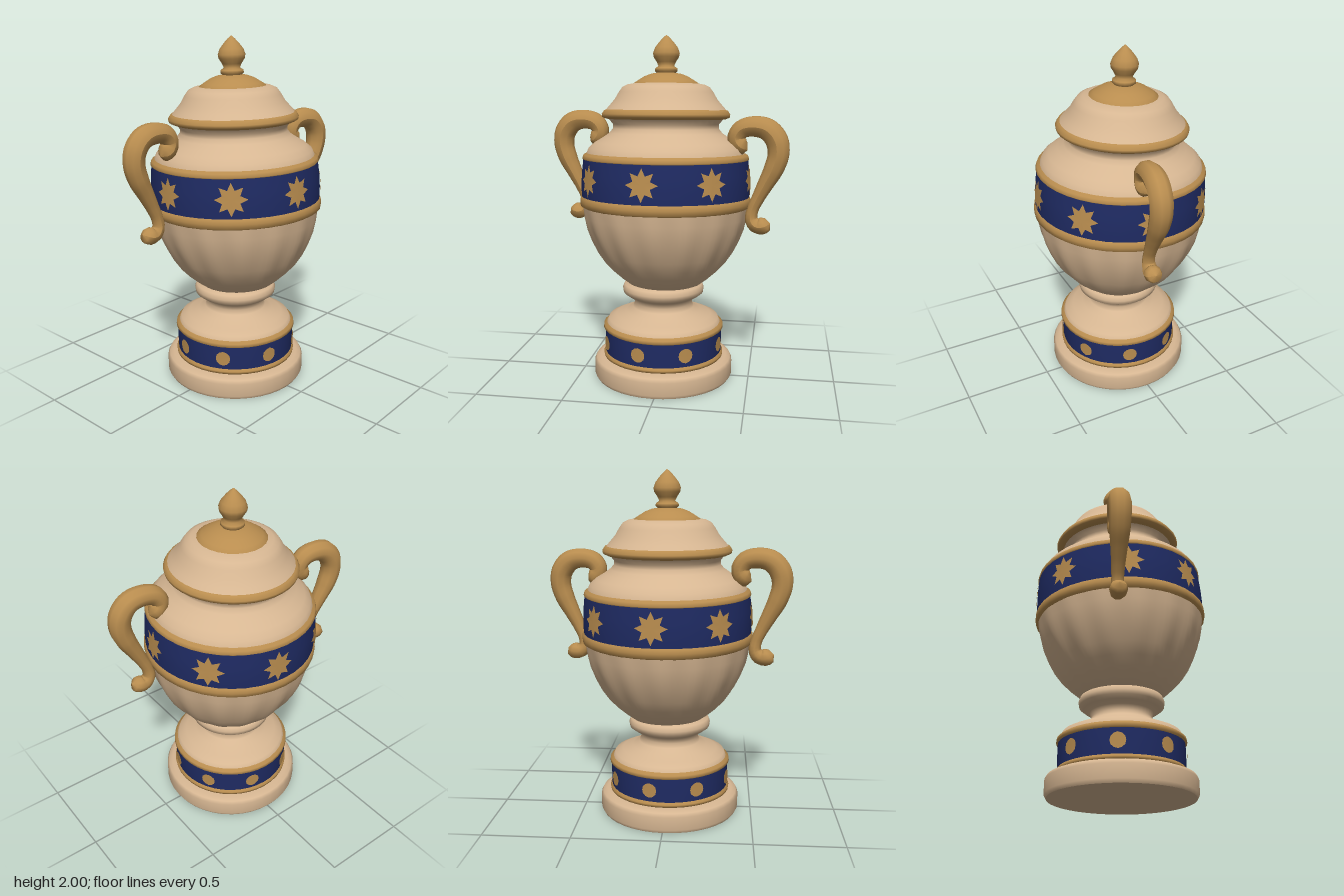
import * as THREE from 'three';
import { mergeVertices } from 'three/addons/utils/BufferGeometryUtils.js';

const cream = new THREE.MeshStandardMaterial({ color: 0xd6b692, name: 'cream' });
const gold = new THREE.MeshStandardMaterial({ color: 0xb98d4f, name: 'gold' });
const blue = new THREE.MeshStandardMaterial({ color: 0x1f2b63, name: 'navy blue' });

function add(parent, name, geometry, material) {
  const mesh = new THREE.Mesh(geometry, material);
  mesh.name = name;
  parent.add(mesh);
  return mesh;
}

// Turned part from [radius, height] pairs, listed bottom to top
function turned(profile, segments = 40) {
  return new THREE.LatheGeometry(profile.map(([r, y]) => new THREE.Vector2(r, y)), segments);
}

// Shallow vertical lobes that fade out towards the top and bottom of the bowl
function flute(geometry, y0, y1, lobes, depth) {
  geometry.deleteAttribute('uv');
  geometry.deleteAttribute('normal');
  const p = geometry.attributes.position;
  for (let i = 0; i < p.count; i++) {
    const t = THREE.MathUtils.clamp((p.getY(i) - y0) / (y1 - y0), 0, 1);
    const angle = Math.atan2(p.getX(i), p.getZ(i));
    const k = 1 + depth * Math.sin(Math.PI * t) * Math.cos(lobes * angle);
    p.setX(i, p.getX(i) * k);
    p.setZ(i, p.getZ(i) * k);
  }
  const merged = mergeVertices(geometry, 1e-4);
  merged.computeVertexNormals();
  return merged;
}

// Thin star or disc wrapped round a band; radiusAt gives the band radius at a height
function ornament(points, outer, inner, y, angle, radiusAt) {
  const verts = [];
  const index = [];
  const put = (u, v) => {
    const r = radiusAt(y + v) + 0.006;
    const a = angle + u / r;
    verts.push(r * Math.sin(a), y + v, r * Math.cos(a));
  };
  put(0, 0);
  const n = points * 2;
  for (let i = 0; i < n; i++) {
    const a = Math.PI / 2 + (i / n) * Math.PI * 2;
    const r = i % 2 ? inner : outer;
    put(r * Math.cos(a), r * Math.sin(a));
    index.push(0, i + 1, ((i + 1) % n) + 1);
  }
  const g = new THREE.BufferGeometry();
  g.setAttribute('position', new THREE.Float32BufferAttribute(verts, 3));
  g.setIndex(index);
  g.computeVertexNormals();
  return g;
}

// Tube of varying thickness through [x, y, radius] stations
function scroll(stations, side, zAt, lift) {
  const curve = new THREE.CatmullRomCurve3(stations.map(([x, y]) =>
    new THREE.Vector3(side * x, y + lift, zAt(side * x))));
  const rings = 56, sides = 10;
  const g = new THREE.TubeGeometry(curve, rings, 1, sides);
  const p = g.attributes.position;
  const v = new THREE.Vector3();
  for (let i = 0; i <= rings; i++) {
    const centre = curve.getPointAt(i / rings);
    const s = curve.getUtoTmapping(i / rings) * (stations.length - 1);
    const k = Math.min(Math.floor(s), stations.length - 2);
    const radius = THREE.MathUtils.lerp(stations[k][2], stations[k + 1][2], s - k);
    for (let j = 0; j <= sides; j++) {
      const id = i * (sides + 1) + j;
      v.fromBufferAttribute(p, id).sub(centre).multiplyScalar(radius).add(centre);
      p.setXYZ(id, v.x, v.y, v.z);
    }
  }
  g.computeVertexNormals();
  return g;
}

export function createModel() {
  const urn = new THREE.Group();
  urn.name = 'urn';

  // Foot: plinth, banded drum and waisted stem
  const foot = new THREE.Group();
  foot.name = 'foot';
  foot.position.x = -0.012;
  urn.add(foot);
  add(foot, 'plinthBottom', turned([[0, 0.005], [0.4, 0.005]]), cream);
  add(foot, 'plinth', turned([[0.4, 0.005], [0.411, 0.025], [0.411, 0.1], [0.4, 0.12], [0.375, 0.13], [0.33, 0.133]]), cream);
  add(foot, 'drumLowerRing', turned([[0.335, 0.13], [0.354, 0.135], [0.356, 0.15], [0.344, 0.163]]), gold);
  add(foot, 'drumBand', turned([[0.345, 0.158], [0.347, 0.23], [0.346, 0.3]]), blue);
  add(foot, 'drumUpperRing', turned([[0.344, 0.296], [0.356, 0.304], [0.354, 0.322], [0.335, 0.335]]), gold);
  add(foot, 'stem', turned([[0.338, 0.33], [0.325, 0.358], [0.28, 0.378], [0.22, 0.4], [0.18, 0.425],
    [0.168, 0.45], [0.178, 0.48], [0.212, 0.497], [0.236, 0.515], [0.24, 0.54], [0.23, 0.565], [0.19, 0.58]]), cream);
  for (let i = 0; i < 8; i++) {
    const angle = THREE.MathUtils.degToRad(-15 + i * 45);
    add(foot, 'drumDot', ornament(6, 0.043, 0.042, 0.23, angle, () => 0.347), gold);
  }

  // Bowl and lid lean very slightly backwards
  const upper = new THREE.Group();
  upper.name = 'bowlAndLid';
  upper.rotation.x = -0.036;
  upper.position.z = 0.032;
  urn.add(upper);

  const bowl = turned([[0.18, 0.56], [0.215, 0.575], [0.255, 0.605], [0.305, 0.65], [0.35, 0.7], [0.39, 0.76],
    [0.425, 0.83], [0.453, 0.9], [0.47, 0.97], [0.479, 1.04]], 96);
  add(upper, 'bowl', flute(bowl, 0.56, 1.04, 16, 0.014), cream);
  add(upper, 'bowlLowerRing', turned([[0.475, 1.025], [0.492, 1.035], [0.495, 1.06], [0.492, 1.08], [0.482, 1.092]]), gold);
  add(upper, 'bowlBand', turned([[0.485, 1.085], [0.487, 1.15], [0.484, 1.22], [0.475, 1.305]]), blue);
  add(upper, 'bowlUpperRing', turned([[0.474, 1.298], [0.481, 1.305], [0.475, 1.325], [0.45, 1.34]]), gold);
  add(upper, 'shoulder', turned([[0.458, 1.333], [0.445, 1.365], [0.41, 1.395], [0.36, 1.425], [0.325, 1.45],
    [0.305, 1.475], [0.305, 1.5], [0.33, 1.53], [0.345, 1.54]]), cream);
  const bandRadius = (y) => 0.487 - Math.max(0, y - 1.15) * 0.075;
  for (let i = 0; i < 8; i++) {
    const angle = THREE.MathUtils.degToRad(-6 + i * 45);
    add(upper, 'bandStar', ornament(8, 0.09, 0.052, 1.193, angle, bandRadius), gold);
  }

  // Lid with gold rim, cap and bud finial
  add(upper, 'lidRim', turned([[0.3, 1.525], [0.345, 1.53], [0.366, 1.54], [0.369, 1.557], [0.355, 1.578], [0.335, 1.585]]), gold);
  add(upper, 'lid', turned([[0.347, 1.58], [0.325, 1.605], [0.295, 1.64], [0.272, 1.68], [0.25, 1.71], [0.22, 1.724], [0.18, 1.73]]), cream);
  add(upper, 'lidCap', turned([[0.185, 1.715], [0.194, 1.726], [0.165, 1.745], [0.125, 1.77], [0.085, 1.785], [0.05, 1.79]], 24), gold);
  add(upper, 'finial', turned([[0.05, 1.785], [0.066, 1.8], [0.064, 1.815], [0.045, 1.828], [0.055, 1.85], [0.073, 1.878],
    [0.077, 1.9], [0.066, 1.93], [0.043, 1.96], [0.02, 1.985], [0, 2.002]], 16), gold);

  // Scroll handles, set slightly askew on the two sides
  const stations = [
    [0.475, 1.365, 0], [0.462, 1.37, 0.035], [0.435, 1.385, 0.052], [0.41, 1.43, 0.05], [0.44, 1.48, 0.054], [0.51, 1.497, 0.058],
    [0.585, 1.48, 0.062], [0.635, 1.42, 0.063], [0.645, 1.345, 0.06], [0.62, 1.26, 0.056], [0.58, 1.18, 0.046],
    [0.54, 1.1, 0.037], [0.51, 1.03, 0.033], [0.503, 0.975, 0.036], [0.53, 0.942, 0.044], [0.568, 0.941, 0.05],
    [0.598, 0.952, 0.036], [0.61, 0.957, 0],
  ];
  add(urn, 'leftHandle', scroll(stations, 1, (x) => 0.02 + 0.115 * x, 0), gold);
  add(urn, 'rightHandle', scroll(stations, -1, (x) => -0.075 + 0.1 * x, 0.02), gold);

  return urn;
}
